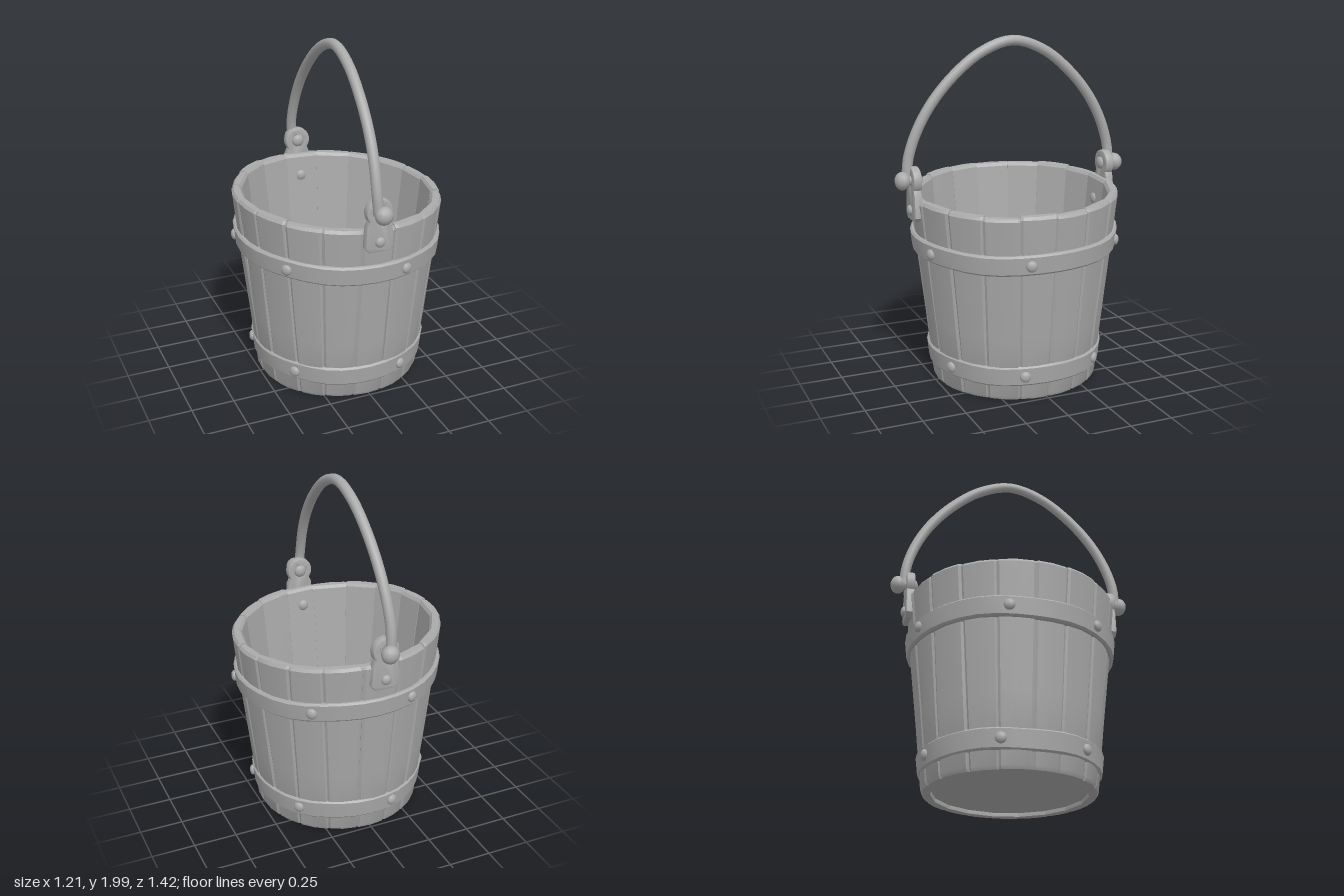
import * as THREE from 'three';
import { toCreasedNormals } from 'three/addons/utils/BufferGeometryUtils.js';

const grey = new THREE.MeshStandardMaterial({ color: 0xaaaaaa });
grey.name = 'plain grey';

let seed = 7;
const jitter = (a) => {
  seed = (seed * 16807) % 2147483647;
  return (seed / 2147483647 * 2 - 1) * a;
};
const wallRadius = (y) => 0.485 + 0.107 * y;
const WALL = 0.055;
const COUNT = 18;

function add(parent, name, geometry, crease = 0) {
  const mesh = new THREE.Mesh(crease ? toCreasedNormals(geometry, crease) : geometry, grey);
  mesh.name = name;
  parent.add(mesh);
  return mesh;
}

// One stave: a wedge-shaped section stacked in rows, with softened ends and edges
function staveGeometry(a0, a1, b0, b1) {
  const push = jitter(0.004);
  const lift = jitter(0.006);
  const rows = [
    [0, 0.008, 0.004], [0.018, 0, 0], [0.35, jitter(0.004), 0], [0.7, jitter(0.004), 0],
    [0.985, 0, 0], [1, 0.014, 0.012],
  ];
  const pos = [], index = [], n = 7;
  for (const [t, outIn, inIn] of rows) {
    const left = THREE.MathUtils.lerp(a0, b0, t);
    const right = THREE.MathUtils.lerp(a1, b1, t);
    const base = wallRadius(t * 1.12) + push * 0.7;
    const section = [[0, -0.008], [0.07, 0], [0.5, 0.002], [0.93, 0], [1, -0.008]]
      .map(([u, d]) => [u, base + d - outIn]);
    section.push([1, base - WALL + inIn], [0, base - WALL + inIn]);
    for (const [u, r] of section) {
      const a = THREE.MathUtils.lerp(left, right, u);
      const x = Math.sin(a) * r, z = Math.cos(a) * r;
      const top = 1.122 - 0.048 * x - 0.022 * z + lift;
      pos.push(x, 0.004 + t * (top - 0.004), z);
    }
  }
  for (let i = 0; i < rows.length - 1; i++) {
    for (let j = 0; j < n; j++) {
      const a = i * n + j, b = i * n + (j + 1) % n;
      index.push(a, b, b + n, a, b + n, a + n);
    }
  }
  const last = (rows.length - 1) * n;
  for (let k = 1; k < n - 1; k++) {
    index.push(last, last + k, last + k + 1, 0, k + 1, k);
  }
  const g = new THREE.BufferGeometry();
  g.setAttribute('position', new THREE.Float32BufferAttribute(pos, 3));
  g.setIndex(index);
  return g;
}

// Hoop with chamfered edges, tilted and slightly hammered
function hoopGeometry(y0, y1, r0, r1, tiltX, tiltZ) {
  const c = 0.01;
  const profile = [
    [wallRadius(y0) - 0.02, y0], [r0 - c, y0], [r0, y0 + c], [r1, y1 - c],
    [r1 - c, y1], [wallRadius(y1) - 0.02, y1], [wallRadius(y0) - 0.02, y0],
  ].map(([x, y]) => new THREE.Vector2(x, y));
  const g = new THREE.LatheGeometry(profile, 36);
  const p = g.attributes.position;
  for (let i = 0; i < p.count; i++) {
    const x = p.getX(i), z = p.getZ(i), a = Math.atan2(x, z);
    const k = 1 + 0.003 * Math.sin(a * 9);
    p.setXYZ(i, x * k, p.getY(i) + tiltX * x + tiltZ * z + 0.004 * Math.sin(a * 5), z * k);
  }
  return g;
}

// Domed rivet facing +z
function rivet(parent, name, r, x, y, z) {
  const m = add(parent, name, new THREE.SphereGeometry(r, 10, 8));
  m.scale.z = 0.6;
  m.position.set(x, y, z);
  return m;
}

// Ear plate with a round eye, pin and knob, facing +z
function handleMount() {
  const g = new THREE.Group();
  const s = new THREE.Shape();
  s.moveTo(-0.055, 0.995);
  s.lineTo(0.055, 0.995);
  s.lineTo(0.073, 1.015);
  s.lineTo(0.066, 1.13);
  s.lineTo(0.05, 1.165);
  s.absarc(0, 1.215, 0.068, -0.75, Math.PI + 0.75, false);
  s.lineTo(-0.066, 1.13);
  s.lineTo(-0.073, 1.015);
  s.closePath();
  const eye = new THREE.Path();
  eye.absarc(0, 1.215, 0.034, 0, Math.PI * 2, true);
  s.holes.push(eye);
  const plate = new THREE.ExtrudeGeometry(s, {
    depth: 0.03, bevelEnabled: true, bevelSize: 0.01, bevelThickness: 0.01, bevelSegments: 2, curveSegments: 10,
  });
  plate.translate(0, 0, 0.585);
  add(g, 'earPlate', plate, 0.7);
  const pin = new THREE.CylinderGeometry(0.028, 0.028, 0.1, 12);
  pin.rotateX(Math.PI / 2);
  pin.translate(0, 1.215, 0.615);
  add(g, 'pin', pin, 0.7);
  const knob = add(g, 'knob', new THREE.SphereGeometry(0.052, 12, 10));
  knob.scale.z = 0.85;
  knob.position.set(0, 1.215, 0.668);
  rivet(g, 'pinEnd', 0.038, 0, 1.215, 0.575);
  rivet(g, 'plateRivet', 0.03, 0, 1.045, 0.628);
  rivet(g, 'innerRivet', 0.034, 0, 1.0, 0.535);
  return g;
}

export function createModel() {
  const model = new THREE.Group();
  model.name = 'bucket';

  // Staves
  const staves = new THREE.Group();
  staves.name = 'staves';
  model.add(staves);
  const step = Math.PI * 2 / COUNT;
  const low = [], high = [];
  for (let i = 0; i < COUNT; i++) {
    low.push((i - 0.5) * step + jitter(0.03));
    high.push((i - 0.5) * step + jitter(0.025));
  }
  for (let i = 0; i < COUNT; i++) {
    const n = (i + 1) % COUNT, wrap = n === 0 ? Math.PI * 2 : 0;
    add(staves, 'stave', staveGeometry(low[i], low[n] + wrap, high[i], high[n] + wrap), 0.45);
  }

  // Floor
  const floor = new THREE.CylinderGeometry(0.455, 0.455, 0.07, 36);
  floor.translate(0, 0.06, 0);
  add(model, 'floor', floor);

  // Hoops and their rivets
  const hoops = [
    ['upperHoop', 0.79, 0.905, 0.595, 0.605, -0.035, -0.022, [17, 76, 143, 200, 257, 310]],
    ['lowerHoop', 0.097, 0.215, 0.508, 0.519, -0.008, 0, [23, 74, 131, 195, 252, 309]],
  ];
  for (const [name, y0, y1, r0, r1, tx, tz, angles] of hoops) {
    add(model, name, hoopGeometry(y0, y1, r0, r1, tx, tz), 0.6);
    for (const deg of angles) {
      const a = THREE.MathUtils.degToRad(deg), r = (r0 + r1) / 2 + 0.002;
      const x = Math.sin(a) * r, z = Math.cos(a) * r;
      rivet(model, 'hoopRivet', 0.032, x, (y0 + y1) / 2 + tx * x + tz * z, z).rotation.y = a;
    }
  }

  // Handle mounts, front and back
  for (const [name, turn] of [['frontMount', 0], ['backMount', Math.PI]]) {
    const mount = handleMount();
    mount.name = name;
    mount.rotation.y = turn;
    mount.position.x = -0.013;
    model.add(mount);
  }

  // Bail handle
  const half = [[-0.03, 1.21, 0.637], [-0.036, 1.33, 0.625], [-0.032, 1.48, 0.575], [-0.026, 1.63, 0.49],
    [-0.02, 1.78, 0.36], [-0.014, 1.91, 0.19]];
  const path = [...half, [-0.011, 1.969, 0], ...half.slice().reverse().map(([x, y, z]) => [x, y, -z])];
  const curve = new THREE.CatmullRomCurve3(path.map((p) => new THREE.Vector3(...p)));
  add(model, 'handle', new THREE.TubeGeometry(curve, 48, 0.03, 10, false));

  return model;
}
